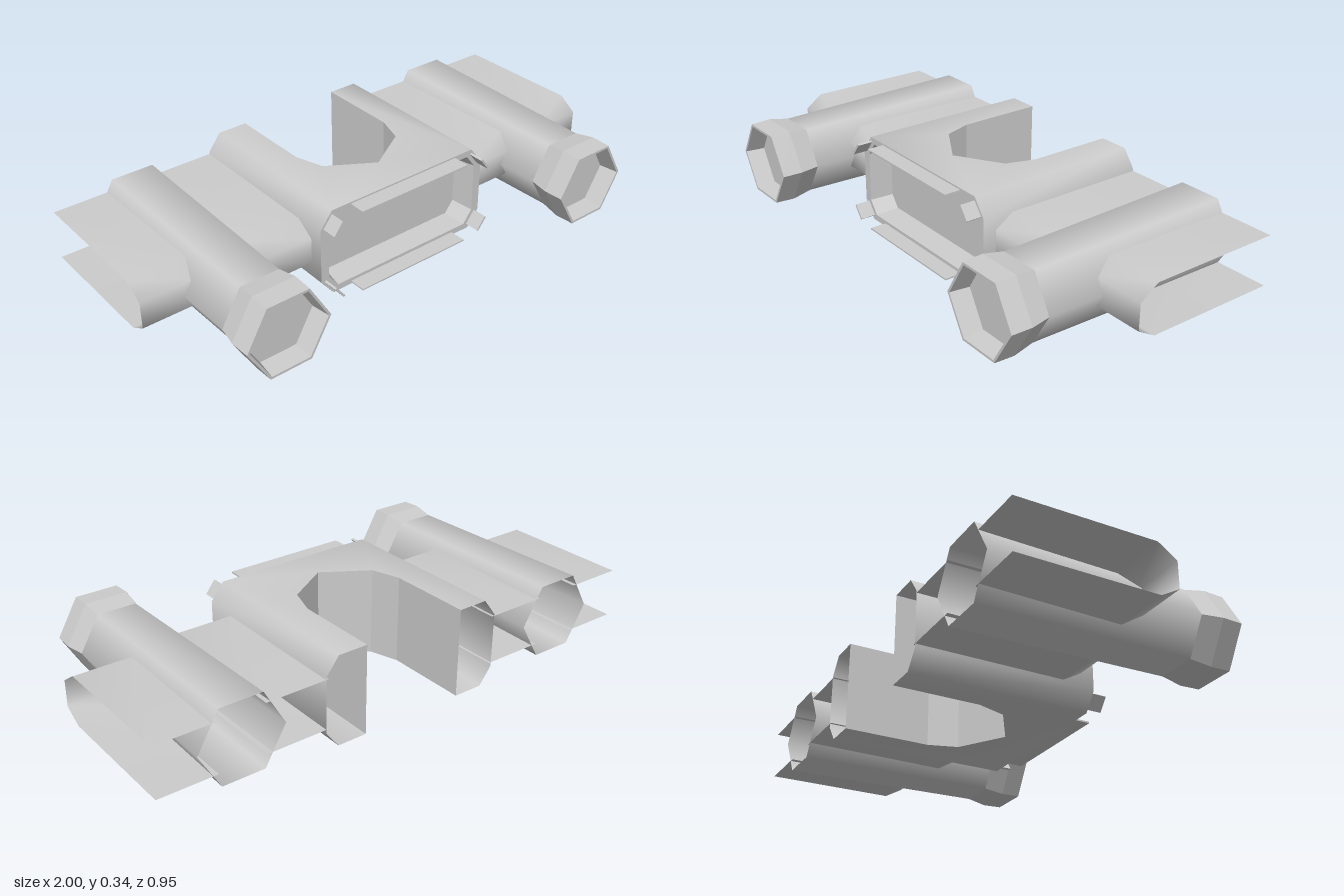
import * as THREE from 'three';
import { mergeGeometries, toCreasedNormals } from 'three/addons/utils/BufferGeometryUtils.js';

const BACK = -0.475, MID = 0.17;
const smooth = new THREE.MeshStandardMaterial({ color: 0xcccccc, side: THREE.DoubleSide });
const flat = new THREE.MeshStandardMaterial({ color: 0xcccccc, side: THREE.DoubleSide, flatShading: true });

// Skin joining successive cross-sections, each a list of [x, y, z]
function loft(rings) {
  const n = rings[0].length, index = [];
  for (let i = 0; i < rings.length - 1; i++) {
    for (let j = 0; j < n - 1; j++) {
      const a = i * n + j, b = a + 1, c = a + n, d = c + 1;
      index.push(a, b, c, b, d, c);
    }
  }
  const g = new THREE.BufferGeometry();
  g.setAttribute('position', new THREE.Float32BufferAttribute(rings.flat(2), 3));
  g.setIndex(index);
  g.computeVertexNormals();
  return g;
}

function add(parent, name, geometry, material, x = 0, y = 0, z = 0) {
  const mesh = new THREE.Mesh(geometry, material);
  mesh.name = name;
  mesh.position.set(x, y, z);
  parent.add(mesh);
  return mesh;
}

// Closed octagon with cut corners, centred on the body axis
function octagon(w, h, cx, cy, z) {
  const pts = [[w - cx, h], [w, h - cy], [w, cy - h], [w - cx, -h],
    [cx - w, -h], [-w, cy - h], [-w, h - cy], [cx - w, h], [w - cx, h]];
  return pts.map(([x, y]) => [x, y, z]);
}

function centralBody() {
  const body = new THREE.Group();
  body.name = 'centralBody';
  body.position.y = MID;
  const front = 0.208;
  const notch = [[-0.205, BACK], [-0.205, -0.15], [-0.17, -0.04], [0, 0.065],
    [0.17, -0.04], [0.205, -0.15], [0.205, BACK]];

  // Notched top plate and one chamfered side; turned over they give the other half
  const outline = [[-0.32, front], [-0.32, BACK], ...notch, [0.32, BACK], [0.32, front]];
  const plate = new THREE.ShapeGeometry(new THREE.Shape(outline.map(([x, z]) => new THREE.Vector2(x, -z))));
  plate.rotateX(-Math.PI / 2).translate(0, 0.17, 0);
  plate.deleteAttribute('uv');
  const side = [[0.32, 0.17], [0.37, 0.105], [0.37, -0.105], [0.32, -0.17]];
  const wall = loft([front, BACK].map((z) => side.map(([x, y]) => [x, y, z])));
  const half = mergeGeometries([plate.toNonIndexed(), wall.toNonIndexed()]);
  const shell = mergeGeometries([half, half.clone().rotateZ(Math.PI)]);
  add(body, 'shell', toCreasedNormals(shell, 1), smooth);

  // Upright walls of the rear notch
  add(body, 'notchWall', loft([0.17, -0.17].map((y) => notch.map(([x, z]) => [x, y, z]))), flat);

  // Front rim, recess walls and recessed panel
  const panel = octagon(0.322, 0.136, 0.035, 0.045, 0.12);
  add(body, 'frontRecess', loft([octagon(0.37, 0.17, 0.05, 0.065, front),
    octagon(0.337, 0.146, 0.038, 0.05, front), panel]), flat);
  const panelShape = new THREE.Shape(panel.slice(0, 8).reverse().map(([x, y]) => new THREE.Vector2(x, y)));
  add(body, 'frontPanel', new THREE.ShapeGeometry(panelShape), flat, 0, 0, 0.12);

  // Thin lips around the front opening
  for (const sy of [1, -1]) {
    add(body, 'frontLip', new THREE.BoxGeometry(0.48, 0.006, 0.064), flat, 0, sy * 0.161, 0.24);
    for (const sx of [1, -1]) {
      const tab = add(body, 'cornerTab', new THREE.BoxGeometry(0.06, 0.008, 0.06), flat,
        sx * 0.335, sy * 0.13, 0.237);
      tab.rotation.z = -sx * sy * Math.atan2(0.065, 0.05);
    }
  }
  return body;
}

// Six-sided lathe lying along z, corners pointing sideways; points are [radius, z]
function hexLathe(points) {
  const profile = points.map(([r, z]) => new THREE.Vector2(r, z));
  return new THREE.LatheGeometry(profile, 6, Math.PI / 2).rotateX(Math.PI / 2);
}

function sideTube(sign) {
  const tube = new THREE.Group();
  tube.name = sign > 0 ? 'leftTube' : 'rightTube';
  tube.position.set(sign * 0.69, MID, 0);
  add(tube, 'tubeBody', hexLathe([[0.162, BACK], [0.148, 0.318]]), smooth);
  add(tube, 'tubeCollar', hexLathe([[0.148, 0.318], [0.163, 0.395], [0.16, 0.472],
    [0.15, 0.472], [0.14, 0.4]]), flat);
  add(tube, 'tubePanel', new THREE.CircleGeometry(0.14, 6), flat, 0, 0, 0.4);
  return tube;
}

// Hollow wing section with a rounded leading edge, open at the back and ends
function wing(x0, x1, front) {
  const profile = [[0.097, BACK], [0.097, front - 0.07], [0.05, front], [-0.05, front],
    [-0.09, front - 0.07], [-0.09, BACK]];
  return loft([x0, x1].map((x) => profile.map(([y, z]) => [x, y, z])));
}

export function createModel() {
  const model = new THREE.Group();
  model.name = 'model';
  model.add(centralBody());
  for (const sign of [1, -1]) {
    model.add(sideTube(sign));
    add(model, 'innerWing', wing(sign * 0.36, sign * 0.6, 0.155), smooth, 0, MID, 0);
    add(model, 'outerWing', wing(sign * 0.78, sign * 1.0, 0.102), smooth, 0, MID, 0);
  }
  return model;
}
